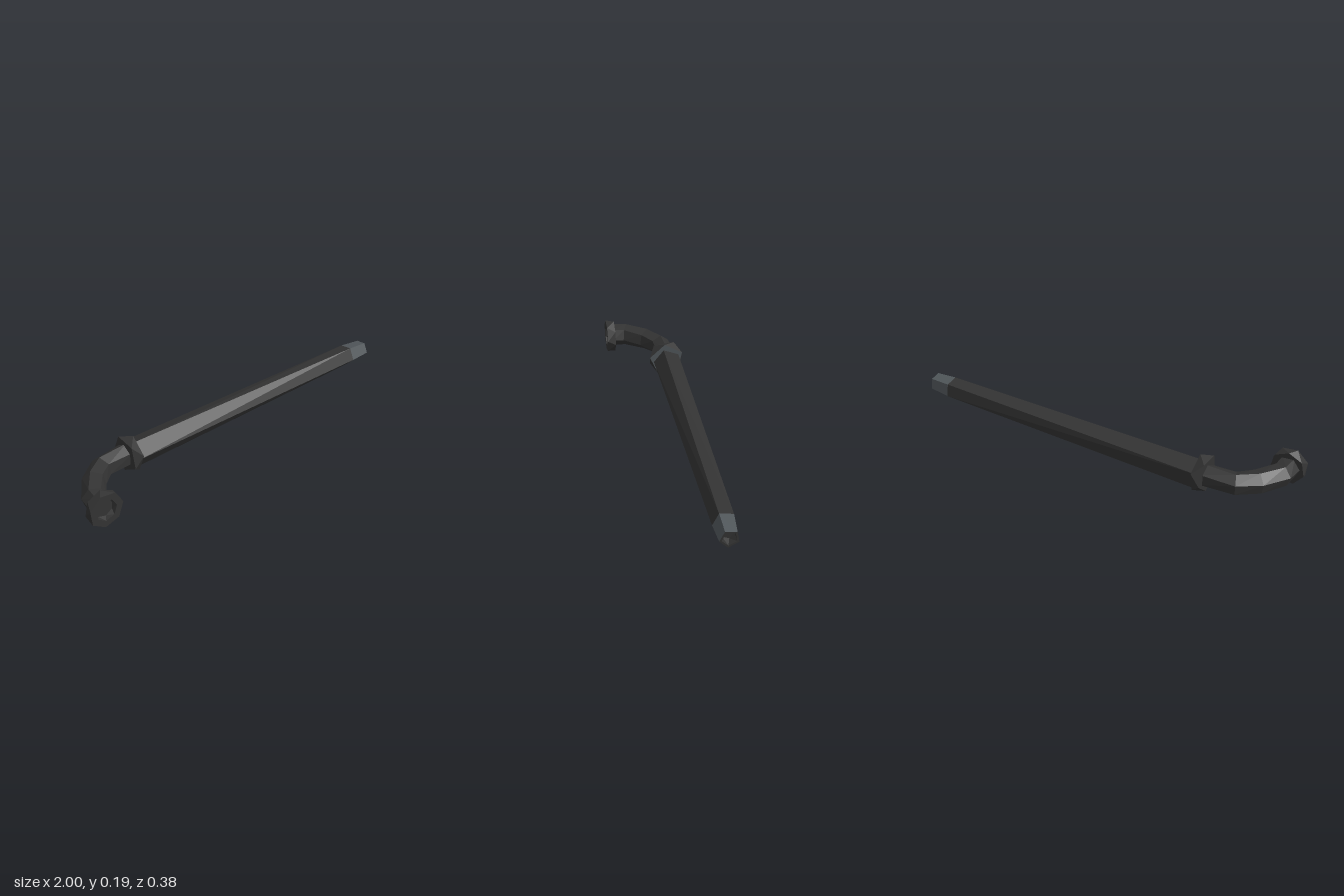
import * as THREE from 'three';

const dark = new THREE.MeshStandardMaterial({ color: 0x333333, flatShading: true });
dark.name = 'darkIron';
const grey = new THREE.MeshStandardMaterial({ color: 0x50565a, flatShading: true });
grey.name = 'greyMetal';

// Skins a row of polygon rings. Ring: [x, y, z, radius, turn in degrees, heading in degrees]
// Heading 0 points along +x, heading 90 along +z.
function loft(name, sides, material, rings) {
  const pts = rings.map(([x, y, z, r, turn, heading = 0]) => {
    const h = THREE.MathUtils.degToRad(heading);
    const side = new THREE.Vector3(-Math.sin(h), 0, Math.cos(h));
    return Array.from({ length: sides }, (_, j) => {
      const a = THREE.MathUtils.degToRad(turn) + (j / sides) * Math.PI * 2;
      return new THREE.Vector3(x, y + r * Math.cos(a), z).addScaledVector(side, r * Math.sin(a));
    });
  });
  const pos = [];
  for (let i = 0; i < pts.length - 1; i++) {
    for (let j = 0; j < sides; j++) {
      const k = (j + 1) % sides;
      const a = pts[i][j], b = pts[i][k], c = pts[i + 1][k], d = pts[i + 1][j];
      for (const t of [[a, b, d], [b, c, d]]) {
        const area = t[1].clone().sub(t[0]).cross(t[2].clone().sub(t[0])).length();
        if (area > 1e-9) for (const p of t) pos.push(p.x, p.y, p.z);
      }
    }
  }
  const geo = new THREE.BufferGeometry();
  geo.setAttribute('position', new THREE.Float32BufferAttribute(pos, 3));
  geo.computeVertexNormals();
  const mesh = new THREE.Mesh(geo, material);
  mesh.name = name;
  return mesh;
}

export function createModel() {
  const group = new THREE.Group();
  group.name = 'cane';

  // Long tapering shaft with a slight twist
  group.add(loft('shaft', 5, dark, [
    [-0.58, 0.083, -0.1, 0.074, 15],
    [0.885, 0.09, -0.107, 0.057, 28],
  ]));

  // Metal tip with a hollow end
  group.add(loft('tip', 5, grey, [
    [0.885, 0.09, -0.107, 0.057, 28],
    [1, 0.09, -0.104, 0.047, 28],
  ]));
  group.add(loft('tipHollow', 5, dark, [
    [1, 0.09, -0.104, 0.047, 28],
    [1, 0.09, -0.104, 0.036, 28],
    [0.96, 0.09, -0.104, 0.03, 50],
    [0.96, 0.09, -0.104, 0, 50],
  ]));

  // Collar between shaft and handle, with a grey face
  group.add(loft('collar', 5, dark, [
    [-0.615, 0.094, -0.097, 0, 42],
    [-0.615, 0.094, -0.097, 0.094, 42],
    [-0.567, 0.094, -0.097, 0.094, 78],
  ]));
  group.add(loft('collarFace', 5, grey, [
    [-0.567, 0.094, -0.097, 0.094, 78],
    [-0.567, 0.094, -0.097, 0, 78],
  ]));

  // Curved handle, from the collar round to the front (heading 180 is -x)
  group.add(loft('handle', 6, dark, [
    [-0.6, 0.092, -0.103, 0.058, 0, 180],
    [-0.755, 0.09, -0.087, 0.056, 8, 158],
    [-0.84, 0.09, -0.02, 0.058, 14, 130],
    [-0.912, 0.09, 0.085, 0.058, 20, 108],
    [-0.918, 0.09, 0.16, 0.06, 24, 90],
  ]));

  // End cap with a shallow hollow
  group.add(loft('endCap', 7, dark, [
    [-0.915, 0.087, 0.15, 0, 0, 90],
    [-0.915, 0.087, 0.15, 0.087, 0, 90],
    [-0.915, 0.087, 0.195, 0.09, 18, 90],
    [-0.915, 0.087, 0.195, 0.055, 18, 90],
    [-0.915, 0.087, 0.17, 0.048, 35, 90],
    [-0.915, 0.087, 0.17, 0, 35, 90],
  ]));

  return group;
}
